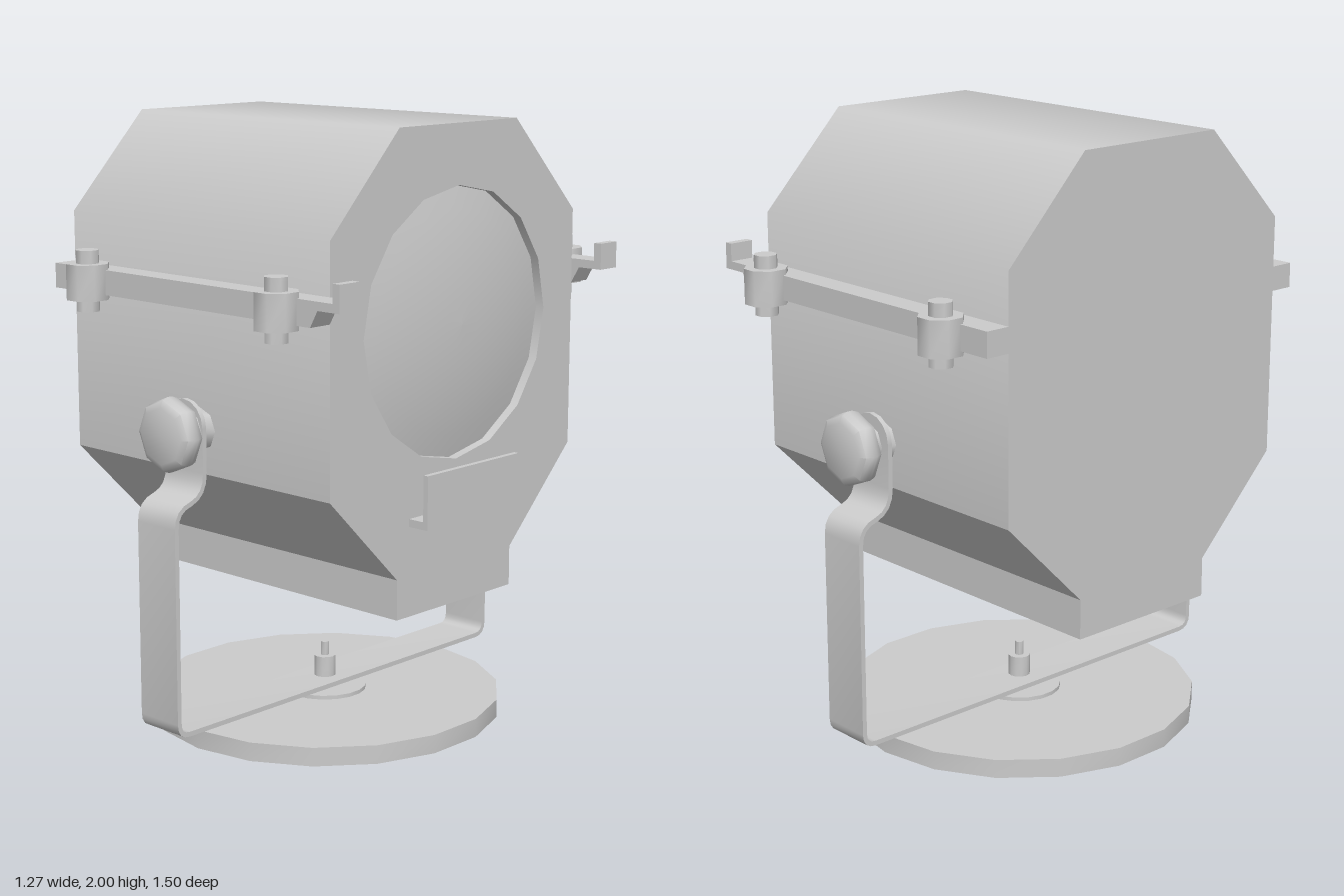
import * as THREE from 'three';
import { toCreasedNormals } from 'three/addons/utils/BufferGeometryUtils.js';

const grey = new THREE.MeshStandardMaterial({ color: 0xcccccc });
const inside = new THREE.MeshStandardMaterial({ color: 0xcccccc, side: THREE.BackSide });
const X0 = -0.63, X1 = 0.515;          // ends of the lamp housing
const LENS_Y = 1.38, LENS_R = 0.43;
const PIVOT_X = -0.047, PIVOT_Y = 1.053;
const BASE_X = -0.057;

export function createModel() {
  const model = new THREE.Group();
  model.name = 'searchlight';

  const add = (name, geometry, x = 0, y = 0, z = 0, material = grey) => {
    const mesh = new THREE.Mesh(geometry, material);
    mesh.name = name;
    mesh.position.set(x, y, z);
    model.add(mesh);
    return mesh;
  };
  const cylinder = (r, h, sides, turn = 0) =>
    toCreasedNormals(new THREE.CylinderGeometry(r, r, h, sides).rotateY(turn), 0.9);
  const vec = ([a, b]) => new THREE.Vector2(a, b);

  // Housing: eight-sided section (z, y) with a narrow foot, running along x
  const half = [[0.275, 0.48], [0.275, 0.61], [0.575, 0.91], [0.575, 1.69], [0.275, 2]];
  const section = [...half, ...half.map(([z, y]) => [-z, y]).reverse()].map(vec);
  add('housing', housingWalls(section));

  const front = new THREE.Shape(section);
  const rim = [];
  for (let i = 0; i < 16; i++) {
    const a = (i / 16) * Math.PI * 2;
    rim.push(new THREE.Vector2(Math.cos(a) * LENS_R, LENS_Y + Math.sin(a) * LENS_R));
  }
  front.holes.push(new THREE.Path(rim));
  add('housingFront', new THREE.ShapeGeometry(front).rotateY(Math.PI / 2), X1);
  add('housingBack', new THREE.ShapeGeometry(new THREE.Shape(section)).rotateY(-Math.PI / 2), X0);

  // Recessed, slightly domed lens
  const recess = new THREE.CylinderGeometry(LENS_R, LENS_R, 0.035, 16, 1, true).rotateZ(-Math.PI / 2);
  add('lensRecess', recess, X1 - 0.0175, LENS_Y, 0, inside);
  const dome = [];
  for (let i = 0; i <= 6; i++) {
    const r = LENS_R * (1 - i / 6);
    dome.push(new THREE.Vector2(r, 0.534 - 0.27 * r * r));
  }
  add('lens', new THREE.LatheGeometry(dome, 16).rotateZ(-Math.PI / 2), 0, LENS_Y, 0);

  // Small ledge below the lens
  add('ledgeFloor', new THREE.BoxGeometry(0.075, 0.025, 0.44), 0.5525, 0.7825, 0);
  add('ledgeLip', new THREE.BoxGeometry(0.018, 0.148, 0.44), 0.581, 0.869, 0);

  // Side rails with hooked ends, and their clamp bolts
  const rail = new THREE.Shape([
    [X0, 1.447], [X1, 1.447], [0.545, 1.5], [0.633, 1.5], [0.633, 1.585],
    [0.605, 1.585], [0.605, 1.527], [X0, 1.527],
  ].map(vec));
  const railGeo = new THREE.ExtrudeGeometry(rail, { depth: 0.083, bevelEnabled: false });

  // Pivot knob: rounded eight-sided handle on a collar
  const knobProfile = [
    [0, 0.657], [0.09, 0.657], [0.112, 0.668], [0.12, 0.69],
    [0.12, 0.706], [0.112, 0.727], [0.09, 0.738], [0, 0.738],
  ].map(vec);

  for (const s of [1, -1]) {
    const side = s > 0 ? 'front' : 'back';
    add(side + 'Rail', railGeo, 0, 0, s > 0 ? 0.575 : -0.658);
    for (const x of [-0.45, 0.395]) {
      add(side + 'ClampNut', cylinder(0.071, 0.115, 8, Math.PI / 8), x, 1.488, s * 0.675);
      add(side + 'ClampBolt', cylinder(0.038, 0.196, 8, Math.PI / 8), x, 1.49, s * 0.675);
    }
    const knob = new THREE.LatheGeometry(knobProfile, 8).rotateX(s * Math.PI / 2);
    add(side + 'Knob', toCreasedNormals(knob, 0.9), PIVOT_X, PIVOT_Y, 0);
    add(side + 'PivotCollar', cylinder(0.07, 0.09, 8).rotateX(Math.PI / 2), PIVOT_X, PIVOT_Y, s * 0.615);
    const tip = new THREE.CylinderGeometry(0.085, 0.085, 0.016, 8, 1, false, Math.PI / 2, Math.PI);
    add(side + 'YokeTip', tip.rotateX(Math.PI / 2), BASE_X - 0.003, 1.07, s * 0.622);
  }

  // Yoke: bent flat strap
  add('yoke', yokeStrap(), BASE_X - 0.088, 0, 0);

  // Base plate, washer and centre bolt
  add('base', cylinder(0.592, 0.062, 18), BASE_X, 0.031, 0);
  add('baseWasher', cylinder(0.14, 0.013, 18), BASE_X, 0.0685, 0);
  add('baseNeck', cylinder(0.042, 0.02, 12), BASE_X, 0.082, 0);
  add('boltHead', cylinder(0.037, 0.075, 12), BASE_X, 0.1385, 0);
  add('boltStem', cylinder(0.014, 0.05, 8), BASE_X, 0.198, 0);

  return model;
}

// Side faces of the housing: the upper corners are smooth, the lower ones sharp
function housingWalls(section) {
  const n = section.length, position = [], normal = [];
  const faceNormal = (i) => {
    const p = section[(i + n) % n], q = section[(i + 1) % n];
    return new THREE.Vector2(q.y - p.y, p.x - q.x).normalize();
  };
  for (let i = 0; i < n; i++) {
    const p = section[i], q = section[(i + 1) % n], f = faceNormal(i);
    const np = p.y > 1 ? f.clone().add(faceNormal(i - 1)).normalize() : f;
    const nq = q.y > 1 ? f.clone().add(faceNormal(i + 1)).normalize() : f;
    const corners = [[X0, p, np], [X1, p, np], [X1, q, nq], [X0, p, np], [X1, q, nq], [X0, q, nq]];
    for (const [x, c, m] of corners) {
      position.push(x, c.y, c.x);
      normal.push(0, m.y, m.x);
    }
  }
  const geometry = new THREE.BufferGeometry();
  geometry.setAttribute('position', new THREE.Float32BufferAttribute(position, 3));
  geometry.setAttribute('normal', new THREE.Float32BufferAttribute(normal, 3));
  return geometry;
}

// Strap centre line in (z, y), thickened both ways and extruded along x
function yokeStrap() {
  const path = new THREE.Path();
  path.moveTo(-0.622, 1.07);
  path.lineTo(-0.622, 0.93);
  path.quadraticCurveTo(-0.622, 0.86, -0.68, 0.843);
  path.quadraticCurveTo(-0.743, 0.83, -0.743, 0.77);
  path.lineTo(-0.743, 0.14);
  path.quadraticCurveTo(-0.743, 0.098, -0.7, 0.098);
  const left = path.getPoints(4);
  const line = [...left, ...left.map((p) => new THREE.Vector2(-p.x, p.y)).reverse()];
  const offset = (d) => line.map((p, i) => {
    const a = line[Math.max(i - 1, 0)], b = line[Math.min(i + 1, line.length - 1)];
    const t1 = p.clone().sub(a).normalize(), t2 = b.clone().sub(p).normalize();
    const t = t1.add(t2).normalize();
    return new THREE.Vector2(p.x - t.y * d, p.y + t.x * d);
  });
  const shape = new THREE.Shape([...offset(-0.008), ...offset(0.008).reverse()]);
  const strap = new THREE.ExtrudeGeometry(shape, { depth: 0.17, bevelEnabled: false });
  return toCreasedNormals(strap.rotateY(Math.PI / 2), 0.7);
}
